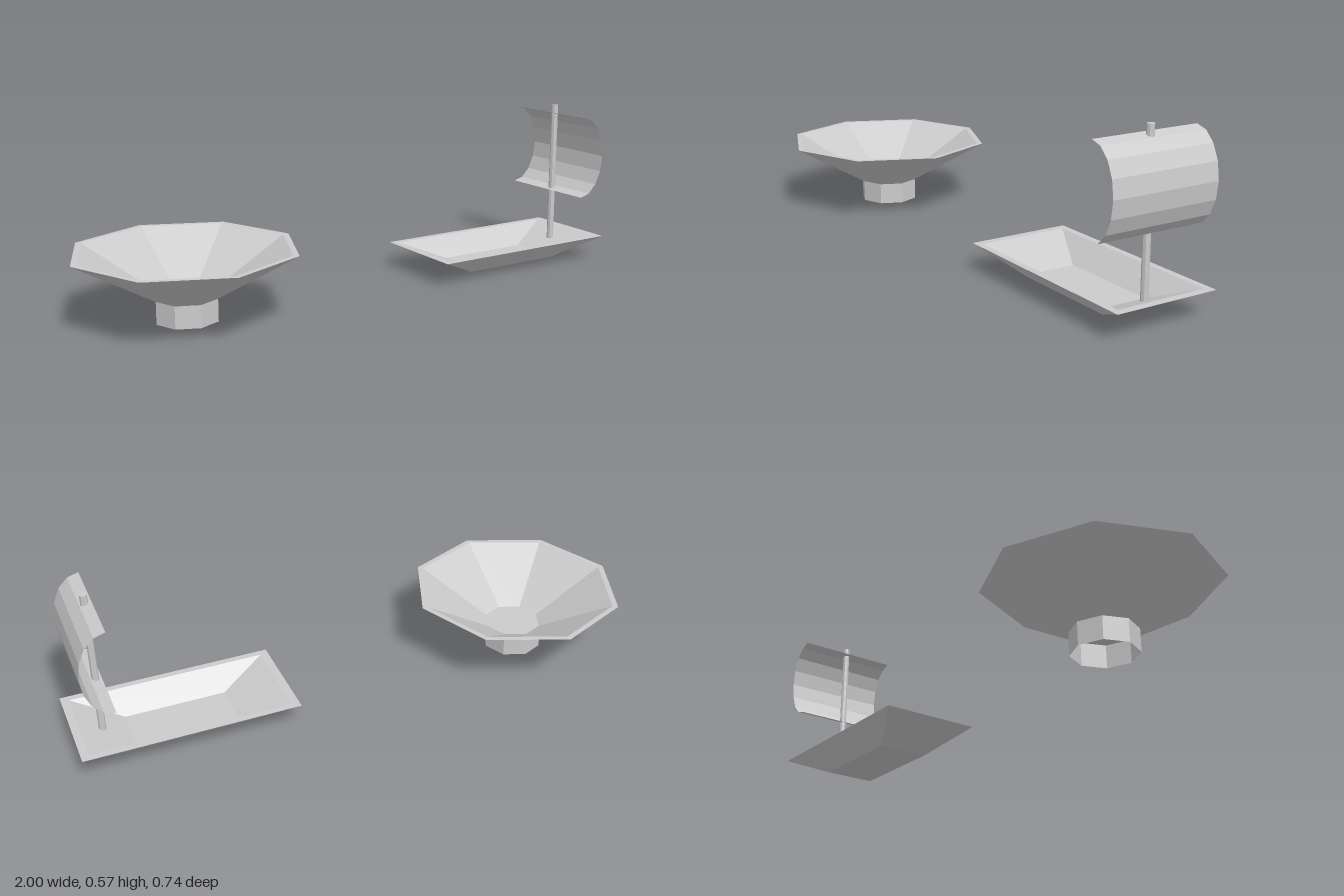
import * as THREE from 'three';

const material = new THREE.MeshStandardMaterial({ color: 0xcccccc, flatShading: true });
const thinMaterial = new THREE.MeshStandardMaterial({ color: 0xcccccc, flatShading: true, side: THREE.DoubleSide });

function part(name, geometry, mat = material) {
  const mesh = new THREE.Mesh(geometry, mat);
  mesh.name = name;
  return mesh;
}

// Joins rectangular rings [x0, x1, halfDepth, y] into a closed skin
function loftRectangles(rings) {
  const positions = [];
  const index = [];
  for (const [x0, x1, d, y] of rings) {
    positions.push(x0, y, d, x1, y, d, x1, y, -d, x0, y, -d);
  }
  index.push(0, 2, 1, 0, 3, 2);
  for (let r = 0; r < rings.length - 1; r++) {
    for (let i = 0; i < 4; i++) {
      const a = r * 4 + i;
      const b = r * 4 + (i + 1) % 4;
      index.push(a, b, a + 4, b, b + 4, a + 4);
    }
  }
  const last = (rings.length - 1) * 4;
  index.push(last, last + 1, last + 2, last, last + 2, last + 3);
  const geometry = new THREE.BufferGeometry();
  geometry.setAttribute('position', new THREE.Float32BufferAttribute(positions, 3));
  geometry.setIndex(index);
  geometry.computeVertexNormals();
  return geometry;
}

function createBowl() {
  const bowl = new THREE.Group();
  bowl.name = 'bowl';
  bowl.position.x = -0.628;

  // Octagonal dish: underside, outer wall, flat rim, inner wall, floor
  const profile = [[0, 0.075], [0.105, 0.075], [0.372, 0.23], [0.352, 0.23], [0.1, 0.085], [0, 0.085]]
    .map(([r, y]) => new THREE.Vector2(r, y));
  bowl.add(part('dish', new THREE.LatheGeometry(profile, 8)));

  // Hollow foot, open below
  const foot = part('foot', new THREE.CylinderGeometry(0.105, 0.105, 0.075, 8, 1, true), thinMaterial);
  foot.position.y = 0.0375;
  bowl.add(foot);
  return bowl;
}

function createBoat() {
  const boat = new THREE.Group();
  boat.name = 'boat';

  // Hull: bottom, outer rim, inner rim, inside floor
  boat.add(part('hull', loftRectangles([
    [0.445, 0.82, 0.09, 0.01],
    [0.27, 0.997, 0.178, 0.086],
    [0.297, 0.97, 0.155, 0.086],
    [0.458, 0.805, 0.08, 0.02],
  ])));

  // Mast rising from the sloped inner end
  const bottom = 0.055;
  const top = 0.57;
  const mast = part('mast', new THREE.CylinderGeometry(0.012, 0.012, top - bottom, 8));
  mast.position.set(0.896, (top + bottom) / 2, 0);
  boat.add(mast);

  // Billowed sail: half an open tube lying across the boat
  const sailGeometry = new THREE.CylinderGeometry(1, 1, 0.374, 8, 1, true, 0, Math.PI);
  sailGeometry.rotateX(Math.PI / 2);
  sailGeometry.scale(0.097, 0.147, 1);
  const sail = part('sail', sailGeometry, thinMaterial);
  sail.position.set(0.874, 0.396, -0.003);
  boat.add(sail);
  return boat;
}

export function createModel() {
  const model = new THREE.Group();
  model.name = 'bowlAndBoat';
  model.add(createBowl(), createBoat());
  return model;
}
